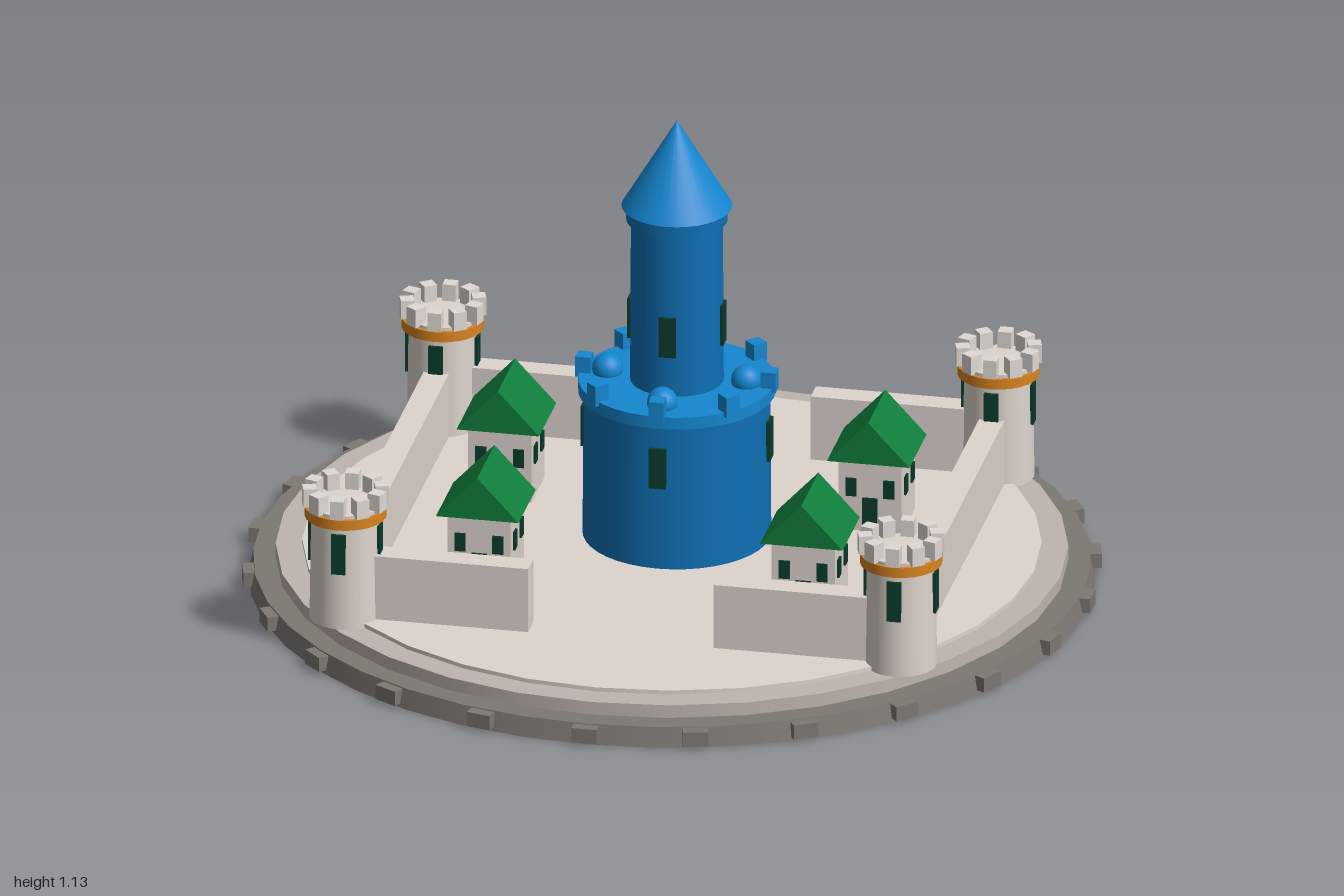
import * as THREE from 'three';

const mat = (color) => new THREE.MeshStandardMaterial({ color });
const M = {
  rock: mat(0x7d7872), rim: mat(0xbfb5af), stone: mat(0xded4cd), merlon: mat(0xe0dad5),
  blue: mat(0x0f70b5), blueRoof: mat(0x1487d0), dark: mat(0x0a3a2a),
  green: mat(0x0f7d3b), gold: mat(0xd98420),
};
const GROUND = 0.09;

function add(parent, name, geo, material, x = 0, y = 0, z = 0, ry = 0) {
  const m = new THREE.Mesh(geo, material);
  m.name = name;
  m.position.set(x, y, z);
  m.rotation.y = ry;
  parent.add(m);
  return m;
}
const box = (w, h, d) => new THREE.BoxGeometry(w, h, d);

// upright drum between two heights
function drum(parent, name, rTop, rBottom, y0, y1, material, sides = 32) {
  return add(parent, name, new THREE.CylinderGeometry(rTop, rBottom, y1 - y0, sides), material, 0, (y0 + y1) / 2, 0);
}

// n boxes placed evenly on a circle, facing outward
function ringOfBoxes(parent, name, n, r, y, size, material) {
  const geo = box(...size);
  for (let i = 0; i < n; i++) {
    const a = (i / n) * Math.PI * 2;
    add(parent, name, geo, material, Math.sin(a) * r, y, Math.cos(a) * r, a);
  }
}

function cornerTower() {
  const g = new THREE.Group();
  g.name = 'cornerTower';
  drum(g, 'towerBody', 0.08, 0.084, GROUND - 0.01, 0.34, M.stone, 24);
  drum(g, 'towerGoldBand', 0.096, 0.096, 0.337, 0.362, M.gold, 24);
  drum(g, 'towerTop', 0.088, 0.088, 0.355, 0.37, M.stone, 24);
  ringOfBoxes(g, 'towerMerlon', 10, 0.084, 0.388, [0.032, 0.046, 0.032], M.merlon);
  ringOfBoxes(g, 'towerWindow', 4, 0.08, 0.27, [0.034, 0.1, 0.012], M.dark);
  return g;
}

function house() {
  const g = new THREE.Group();
  g.name = 'house';
  add(g, 'houseBody', box(0.15, 0.185, 0.15), M.stone, 0, GROUND + 0.0925, 0);
  // gable roof, ridge running front to back
  const gable = new THREE.Shape([
    new THREE.Vector2(-0.098, 0), new THREE.Vector2(0.098, 0), new THREE.Vector2(0, 0.105),
  ]);
  add(g, 'houseRoof', new THREE.ExtrudeGeometry(gable, { depth: 0.196, bevelEnabled: false }), M.green, 0, 0.27, -0.098);
  add(g, 'houseDoor', box(0.036, 0.085, 0.01), M.dark, 0, GROUND + 0.0425, 0.075);
  for (const s of [-1, 1]) {
    for (const t of [-1, 1]) {
      add(g, 'houseWindow', box(0.026, 0.045, 0.01), M.dark, s * 0.045, 0.2, t * 0.075);
      add(g, 'houseSideWindow', box(0.01, 0.045, 0.026), M.dark, s * 0.075, 0.2, t * 0.036);
    }
  }
  return g;
}

function keep() {
  const g = new THREE.Group();
  g.name = 'keep';
  // lower drum with battlements
  drum(g, 'keepLower', 0.217, 0.22, GROUND - 0.01, 0.455, M.blue, 40);
  drum(g, 'keepLedge', 0.23, 0.23, 0.45, 0.48, M.blueRoof, 40);
  ringOfBoxes(g, 'keepMerlon', 8, 0.22, 0.495, [0.036, 0.05, 0.036], M.blueRoof);
  for (let i = 0; i < 4; i++) {
    const a = (i * Math.PI) / 2;
    add(g, 'keepDome', new THREE.SphereGeometry(0.036, 20, 14), M.blueRoof, Math.sin(a) * 0.165, 0.49, Math.cos(a) * 0.165);
  }
  // upper drum and pointed roof
  drum(g, 'keepUpper', 0.107, 0.109, 0.47, 0.9, M.blue, 32);
  drum(g, 'keepCollar', 0.118, 0.118, 0.885, 0.922, M.blue, 32);
  add(g, 'keepRoof', new THREE.ConeGeometry(0.129, 0.215, 32), M.blueRoof, 0, 1.0275, 0);
  ringOfBoxes(g, 'keepLowerWindow', 4, 0.217, 0.345, [0.04, 0.1, 0.016], M.dark);
  ringOfBoxes(g, 'keepUpperWindow', 4, 0.106, 0.63, [0.04, 0.1, 0.016], M.dark);
  g.position.z = -0.056;
  return g;
}

export function createModel() {
  const root = new THREE.Group();
  root.name = 'castle';

  // round island in three steps with a ring of rim stones
  drum(root, 'islandBase', 0.975, 0.985, 0, 0.048, M.rock, 40);
  drum(root, 'islandRim', 0.922, 0.922, 0.045, 0.08, M.rim, 32);
  drum(root, 'courtyard', 0.86, 0.86, 0.07, GROUND, M.stone, 32);
  ringOfBoxes(root, 'rimStone', 24, 0.978, 0.027, [0.06, 0.036, 0.044], M.rock);

  root.add(keep());

  for (const sx of [-1, 1]) {
    // side wall, plus front and back walls that leave a gateway
    add(root, 'sideWall', box(0.06, 0.165, 1.1), M.stone, sx * 0.66, 0.1675, 0);
    for (const sz of [-1, 1]) {
      add(root, sz > 0 ? 'frontWall' : 'backWall', box(0.44, 0.165, 0.06), M.stone, sx * 0.44, 0.1675, sz * 0.552);
      const t = cornerTower();
      t.position.set(sx * 0.66, 0, sz * 0.552);
      root.add(t);
    }
    for (const [x, z] of [[0.44, -0.222], [0.385, 0.274]]) {
      const h = house();
      h.position.set(sx * x, 0, z);
      root.add(h);
    }
  }
  return root;
}
